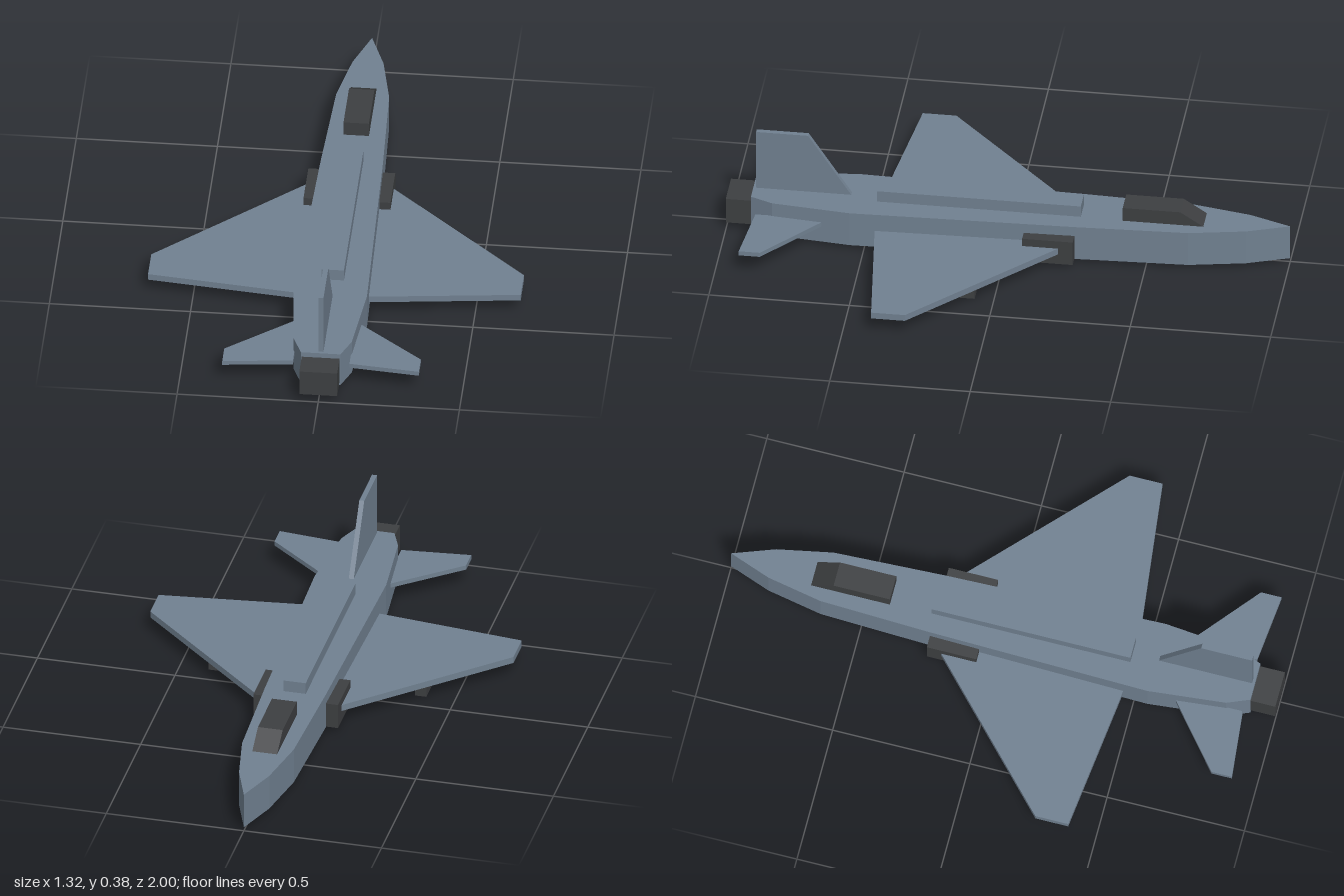
import * as THREE from 'three';

const hullPaint = new THREE.MeshStandardMaterial({ color: 0x708090 });
hullPaint.name = 'slate paint';
const darkTrim = new THREE.MeshStandardMaterial({ color: 0x3d3f41 });
darkTrim.name = 'dark trim';

const toShape = (points) => new THREE.Shape(points.map(([a, b]) => new THREE.Vector2(a, b)));

function extrude(points, depth) {
  return new THREE.ExtrudeGeometry(toShape(points), { depth, bevelEnabled: false });
}

// Slab from an outline in plan, given as [x, z] points
function planSlab(points, bottom, top) {
  return extrude(points, top - bottom).rotateX(Math.PI / 2).translate(0, top, 0);
}

// Slab from a side profile, given as [z, y] points, centred on x = 0
function profileSlab(points, width) {
  return extrude(points, width).rotateY(-Math.PI / 2).translate(width / 2, 0, 0);
}

// Box from its lower and upper limits
function box(x0, x1, y0, y1, z0, z1) {
  return new THREE.BoxGeometry(x1 - x0, y1 - y0, z1 - z0)
    .translate((x0 + x1) / 2, (y0 + y1) / 2, (z0 + z1) / 2);
}

export function createModel() {
  const jet = new THREE.Group();
  jet.name = 'jet';
  const add = (name, geometry, material) => {
    const mesh = new THREE.Mesh(geometry, material);
    mesh.name = name;
    jet.add(mesh);
  };
  const mirror = (points, side) => points.map(([x, z]) => [x * side, z]);

  // Fuselage: pointed nose at -z, tapered tail
  const halfHull = [[0.055, -0.85], [0.094, -0.65], [0.11, -0.25], [0.13, 0.55], [0.103, 0.83], [0.07, 0.91]];
  const hull = [[0, -1], ...halfHull, ...mirror(halfHull, -1).reverse()];
  add('fuselage', planSlab(hull, 0.014, 0.147), hullPaint);

  // Parts along the centreline
  add('spine', box(-0.04, 0.04, 0.14, 0.19, -0.26, 0.465), hullPaint);
  add('canopy', profileSlab([[-0.7, 0.145], [-0.615, 0.2], [-0.41, 0.2], [-0.41, 0.145]], 0.09), darkTrim);
  add('fin', profileSlab([[0.56, 0.145], [0.715, 0.38], [0.9, 0.38], [0.9, 0.145]], 0.018), hullPaint);
  add('nozzle', box(-0.067, 0.067, 0.03, 0.128, 0.9, 1), darkTrim);

  // Paired parts
  const wing = [[0.1, -0.245], [0.66, 0.28], [0.66, 0.4], [0.1, 0.465]];
  const tail = [[0.1, 0.635], [0.348, 0.84], [0.348, 0.915], [0.1, 0.89]];
  for (const [prefix, side] of [['left', 1], ['right', -1]]) {
    const pair = (x0, x1) => (side > 0 ? [x0, x1] : [-x1, -x0]);
    add(prefix + 'Wing', planSlab(mirror(wing, side), 0.056, 0.08), hullPaint);
    add(prefix + 'Tailplane', planSlab(mirror(tail, side), 0.077, 0.094), hullPaint);
    add(prefix + 'Intake', box(...pair(0.085, 0.154), 0.016, 0.11, -0.247, -0.067), darkTrim);
    add(prefix + 'WingPod', box(...pair(0.355, 0.396), 0, 0.044, 0.068, 0.352), darkTrim);
  }
  return jet;
}
